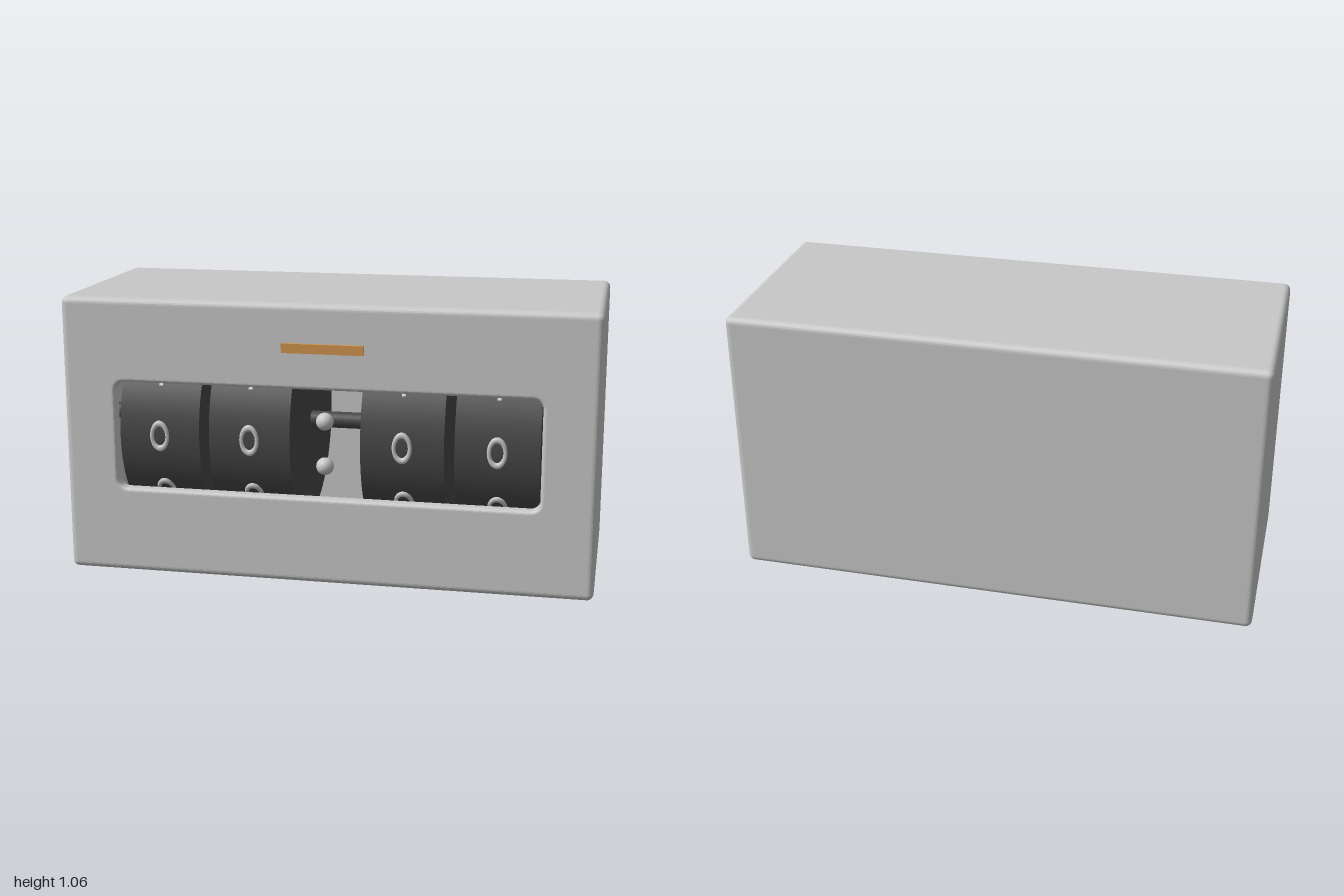
import * as THREE from 'three';

const paint = (name, color) => {
  const m = new THREE.MeshStandardMaterial({ color });
  m.name = name;
  return m;
};

// Rounded rectangle outline, counter-clockwise seen from +z
function outline([hw, hh, r, cy, z], n = 6) {
  const pts = [];
  [[1, 1], [-1, 1], [-1, -1], [1, -1]].forEach(([sx, sy], c) => {
    for (let i = 0; i <= n; i++) {
      const a = (c + i / n) * Math.PI / 2;
      pts.push([sx * (hw - r) + r * Math.cos(a), cy + sy * (hh - r) + r * Math.sin(a), z]);
    }
  });
  return pts;
}

// Skin a list of outlines with crisp facets
function loft(sections) {
  const rings = sections.map((s) => outline(s));
  const n = rings[0].length, index = [];
  for (let i = 0; i < rings.length - 1; i++) {
    for (let j = 0; j < n; j++) {
      const a = i * n + j, b = i * n + (j + 1) % n;
      index.push(a, b, b + n, a, b + n, a + n);
    }
  }
  const g = new THREE.BufferGeometry();
  g.setAttribute('position', new THREE.Float32BufferAttribute(rings.flat(2), 3));
  g.setIndex(index);
  const flat = g.toNonIndexed();
  flat.computeVertexNormals();
  return flat;
}

export function createModel() {
  const model = new THREE.Group();
  model.name = 'flipDrumClock';
  const shellGrey = paint('shellGrey', 0xc8c8c8);
  const drumBlack = paint('drumBlack', 0x484848);
  const copper = paint('copper', 0xd2944e);

  const add = (parent, name, geometry, material, x = 0, y = 0, z = 0) => {
    const m = new THREE.Mesh(geometry, material);
    m.name = name;
    m.position.set(x, y, z);
    parent.add(m);
    return m;
  };

  // Hollow case: back, rounded edges, sides, front, window lip, cavity
  const W = 1, H = 0.53, R = 0.025, front = 0.405, back = -0.419, steps = 6;
  const winW = 0.797, winH = 0.206, winY = 0.537, winR = 0.035, lip = 0.015;
  const tiny = 0.0005;
  const sections = [[tiny, tiny, tiny / 2, H, back]];
  const arc = (i) => [Math.sin(i / steps * Math.PI / 2), Math.cos(i / steps * Math.PI / 2)];
  for (let i = 0; i <= steps; i++) {
    const [s, c] = arc(i), d = R * (1 - s);
    sections.push([W - d, H - d, Math.max(R - d, tiny), H, back + R * (1 - c)]);
  }
  for (let i = steps; i >= 0; i--) {
    const [s, c] = arc(i), d = R * (1 - s);
    sections.push([W - d, H - d, Math.max(R - d, tiny), H, front - R * (1 - c)]);
  }
  for (let i = 0; i <= steps; i++) {
    const [s, c] = arc(i), d = lip * (1 - s);
    sections.push([winW + d, winH + d, winR + d, winY, front - lip * (1 - c)]);
  }
  sections.push(
    [winW, winH, winR, winY, front - 0.04],
    [W - 0.04, H - 0.04, 0.01, H, front - 0.04],
    [W - 0.04, H - 0.04, 0.01, H, back + 0.035],
    [tiny, tiny, tiny / 2, H, back + 0.035],
  );
  add(model, 'case', loft(sections), shellGrey);

  // Axle and drums
  const axisY = 0.535, axisZ = -0.007, drumR = 0.385;
  const axleGeo = new THREE.CylinderGeometry(0.032, 0.032, 1.92, 32).rotateZ(Math.PI / 2);
  add(model, 'axle', axleGeo, drumBlack, 0, axisY, axisZ);

  const drumGeo = new THREE.CylinderGeometry(drumR, drumR, 0.31, 72).rotateZ(Math.PI / 2);
  const ovalGeo = new THREE.TorusGeometry(0.03, 0.0075, 8, 32).scale(1, 1.6, 1.3);
  const tickGeo = new THREE.BoxGeometry(0.014, 0.11, 0.02);
  for (const x of [-0.636, -0.288, 0.288, 0.636]) {
    const drum = new THREE.Group();
    drum.name = 'drum';
    drum.position.set(x, axisY, axisZ);
    model.add(drum);
    add(drum, 'drumBody', drumGeo, drumBlack);
    // Ten raised marks around the rim
    for (let i = 0; i < 10; i++) {
      const pivot = new THREE.Group();
      pivot.name = 'rimMark';
      pivot.rotation.x = i * Math.PI / 5;
      drum.add(pivot);
      const isTick = i === 9;
      add(pivot, isTick ? 'tickMark' : 'ovalMark', isTick ? tickGeo : ovalGeo, shellGrey, 0, 0, drumR);
    }
  }

  // Separator beads between the middle drums
  const beadGeo = new THREE.SphereGeometry(0.033, 24, 16);
  for (const s of [-1, 1]) add(model, 'separatorBead', beadGeo, shellGrey, 0, axisY + s * 0.085, 0.37);

  // Bar above the window
  add(model, 'frontBar', new THREE.BoxGeometry(0.304, 0.035, 0.024), copper, 0, 0.898, 0.407);

  return model;
}
